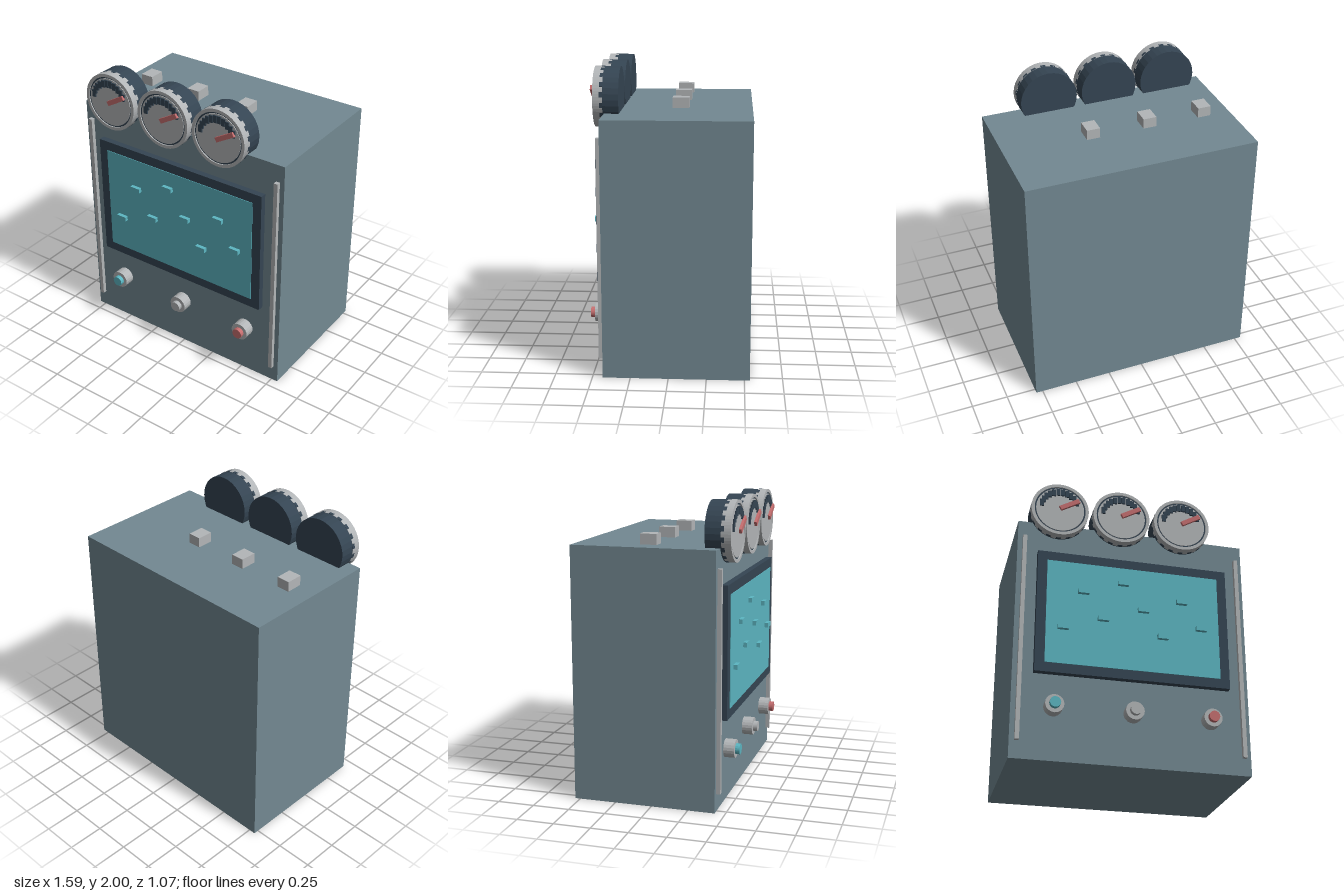
import * as THREE from 'three';

export function createModel() {
  const mat = (name, color) => {
    const m = new THREE.MeshStandardMaterial({ color });
    m.name = name;
    return m;
  };
  const steel = mat('blue grey', 0x738992);
  const dark = mat('dark slate', 0x354553);
  const light = mat('light grey', 0xb3b6b8);
  const teal = mat('teal', 0x5cb6c2);
  const red = mat('red', 0xc66f70);

  const model = new THREE.Group();
  model.name = 'controlConsole';

  const add = (parent, name, geometry, material, x = 0, y = 0, z = 0) => {
    const mesh = new THREE.Mesh(geometry, material);
    mesh.name = name;
    mesh.position.set(x, y, z);
    parent.add(mesh);
    return mesh;
  };
  // Box given by its limits on each axis
  const box = (parent, name, material, x0, x1, y0, y1, z0, z1) =>
    add(parent, name, new THREE.BoxGeometry(x1 - x0, y1 - y0, z1 - z0), material,
      (x0 + x1) / 2, (y0 + y1) / 2, (z0 + z1) / 2);
  // Faceted cylinder running along z
  const disc = (parent, name, material, r, z0, z1, sides, x = 0, y = 0) => {
    const g = new THREE.CylinderGeometry(r, r, z1 - z0, sides).rotateX(Math.PI / 2).toNonIndexed();
    g.computeVertexNormals();
    return add(parent, name, g, material, x, y, (z0 + z1) / 2);
  };
  // Flat-sided ring extruded along z
  const ring = (parent, name, material, outer, inner, z0, z1) => {
    const s = new THREE.Shape().absarc(0, 0, outer, 0, Math.PI * 2);
    s.holes.push(new THREE.Path().absarc(0, 0, inner, 0, Math.PI * 2, true));
    const g = new THREE.ExtrudeGeometry(s, { depth: z1 - z0, bevelEnabled: false, curveSegments: 32 });
    return add(parent, name, g, material, 0, 0, z0);
  };

  // Cabinet and front trim
  box(model, 'cabinet', steel, -0.797, 0.797, 0, 1.71, -0.535, 0.432);
  for (const s of [-1, 1]) {
    box(model, 'trimStrip', light, s * 0.75 - 0.014, s * 0.75 + 0.014, 0.12, 1.59, 0.425, 0.46);
  }

  // Screen with raised blocks
  box(model, 'screenFrame', dark, -0.66, 0.66, 0.586, 1.472, 0.42, 0.475);
  box(model, 'screen', teal, -0.595, 0.595, 0.652, 1.405, 0.472, 0.479);
  const blocks = [[-0.345, 1.187], [-0.073, 1.282], [0.335, 1.187], [0.065, 1.095],
    [-0.21, 1], [0.468, 1], [-0.48, 0.91], [0.198, 0.91]];
  for (const [x, y] of blocks) {
    box(model, 'screenBlock', teal, x - 0.037, x + 0.037, y - 0.016, y + 0.016, 0.476, 0.505);
  }

  // Push buttons
  [teal, light, red].forEach((m, i) => {
    const x = (i - 1) * 0.525;
    disc(model, 'buttonCollar', light, 0.062, 0.425, 0.505, 20, x, 0.36);
    disc(model, 'buttonCap', m, 0.036, 0.5, 0.535, 16, x, 0.36);
  });

  // Roof blocks
  for (const x of [-0.608, -0.21, 0.19]) {
    box(model, 'roofBlock', light, x - 0.046, x + 0.046, 1.7, 1.78, -0.11, 0.003);
  }

  // Dial gauges
  for (const x of [-0.522, -0.088, 0.346]) {
    const gauge = new THREE.Group();
    gauge.name = 'gauge';
    gauge.position.set(x, 1.8, 0);
    disc(gauge, 'gaugeBody', dark, 0.199, 0.335, 0.442, 32);
    ring(gauge, 'gaugeRim', light, 0.2, 0.178, 0.44, 0.504);
    disc(gauge, 'gaugeGap', dark, 0.179, 0.44, 0.496, 32);
    disc(gauge, 'gaugeFace', light, 0.168, 0.49, 0.501, 32);
    // Notches around the rear edge of the rim
    for (let i = 0; i < 18; i++) {
      const a = (i + 0.5) / 18 * Math.PI * 2;
      const notch = add(gauge, 'rimNotch', new THREE.BoxGeometry(0.006, 0.034, 0.02), dark,
        Math.cos(a) * 0.1975, Math.sin(a) * 0.1975, 0.45);
      notch.rotation.z = a;
    }
    // Upright scale marks along the upper arc
    for (let i = 0; i < 11; i++) {
      const a = THREE.MathUtils.degToRad(165 - i * 13.5);
      const px = Math.cos(a) * 0.134, py = Math.sin(a) * 0.134;
      box(gauge, 'scaleMark', dark, px - 0.0135, px + 0.0135, py - 0.025, py + 0.025, 0.495, 0.511);
    }
    // Needle
    const needle = add(gauge, 'needle', new THREE.BoxGeometry(0.15, 0.032, 0.018), red, 0.063, 0.036, 0.517);
    needle.rotation.z = Math.PI / 6;
    model.add(gauge);
  }
  return model;
}
